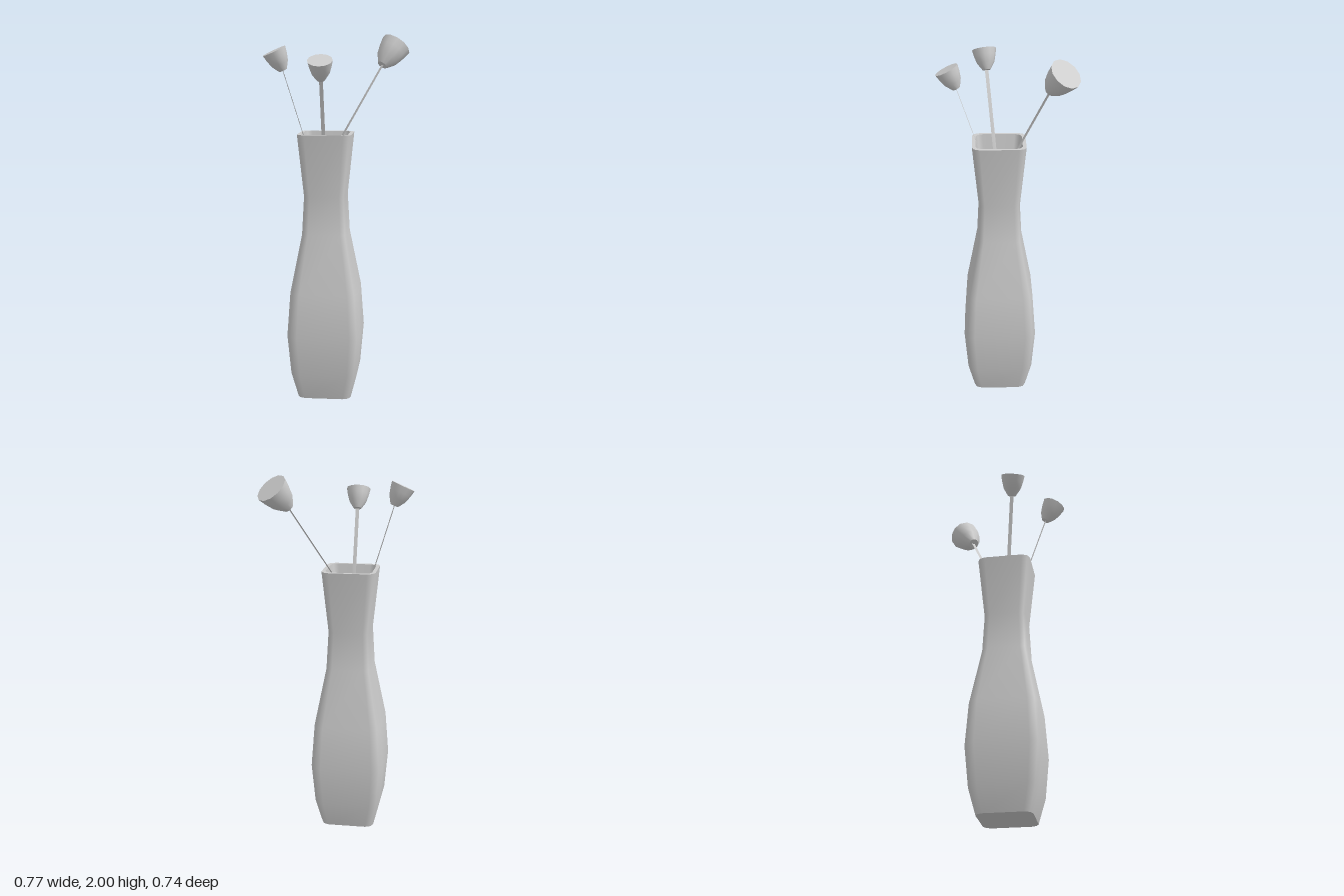
import * as THREE from 'three';
import { mergeGeometries } from 'three/addons/utils/BufferGeometryUtils.js';

const material = new THREE.MeshStandardMaterial({ color: 0xcccccc });
const thin = new THREE.MeshStandardMaterial({ color: 0xcccccc, side: THREE.DoubleSide });
const CX = -0.055, CZ = 0.032; // vase axis

function addMesh(parent, name, geometry, mat = material) {
  const mesh = new THREE.Mesh(geometry, mat);
  mesh.name = name;
  parent.add(mesh);
  return mesh;
}

// Square ring with three points per corner; round = corner size relative to half width
function ring(half, y, round = 0.29) {
  const points = [];
  const c = half * round;
  for (let k = 0; k < 4; k++) {
    const a = (k * Math.PI) / 2;
    for (const [u, v] of [[half, half - c], [half - 0.3 * c, half - 0.3 * c], [half - c, half]]) {
      points.push([u * Math.cos(a) - v * Math.sin(a), y, u * Math.sin(a) + v * Math.cos(a)]);
    }
  }
  return points;
}

// Smooth skin through consecutive closed rings
function loft(rings) {
  const n = rings[0].length;
  const index = [];
  for (let i = 0; i < rings.length - 1; i++) {
    for (let j = 0; j < n; j++) {
      const a = i * n + j, b = i * n + ((j + 1) % n);
      index.push(a, a + n, b, b, a + n, b + n);
    }
  }
  const g = new THREE.BufferGeometry();
  g.setAttribute('position', new THREE.Float32BufferAttribute(rings.flat(2), 3));
  g.setIndex(index);
  g.computeVertexNormals();
  return g;
}

// Flat strip following a path, its width square to the lean direction
function ribbon(path, width) {
  const first = path[0], last = path[path.length - 1];
  const side = new THREE.Vector3(first.z - last.z, 0, last.x - first.x).setLength(width / 2);
  const positions = [], index = [];
  path.forEach((p, i) => {
    positions.push(p.x - side.x, p.y, p.z - side.z, p.x + side.x, p.y, p.z + side.z);
    if (i) index.push(2 * i - 2, 2 * i - 1, 2 * i, 2 * i - 1, 2 * i + 1, 2 * i);
  });
  const g = new THREE.BufferGeometry();
  g.setAttribute('position', new THREE.Float32BufferAttribute(positions, 3));
  g.setIndex(index);
  g.computeVertexNormals();
  return g;
}

// Closed twelve-sided cup, base at the origin, opening upwards
function cupGeometry() {
  const profile = [[0.022, 0], [0.048, 0.04], [0.06, 0.08], [0.067, 0.115]];
  const wall = new THREE.LatheGeometry(profile.map(([r, y]) => new THREE.Vector2(r, y)), 12);
  const top = new THREE.CircleGeometry(0.067, 12).rotateX(-Math.PI / 2).translate(0, 0.115, 0);
  const bottom = new THREE.CircleGeometry(0.022, 12).rotateX(Math.PI / 2);
  return mergeGeometries([wall, top, bottom]);
}

export function createModel() {
  const model = new THREE.Group();

  // Vase: base, body, rim, tapering hollow and its floor
  const vase = new THREE.Group();
  vase.name = 'vase';
  vase.position.set(CX, 0, CZ);
  model.add(vase);
  const body = [
    [0.147, 0], [0.183, 0.14], [0.202, 0.36], [0.185, 0.6],
    [0.124, 0.92], [0.113, 1.13], [0.147, 1.47],
  ];
  const floorY = 0.75;
  addMesh(vase, 'vaseBase', loft([ring(0, 0), ring(0.147, 0)]));
  addMesh(vase, 'vaseBody', loft(body.map(([half, y]) => ring(half, y))));
  addMesh(vase, 'vaseRim', loft([ring(0.147, 1.47), ring(0.127, 1.47)]));
  addMesh(vase, 'vaseInside', loft([ring(0.127, 1.47), ring(0.0435, floorY, 0.02)]));
  addMesh(vase, 'vaseFloor', loft([ring(0.0435, floorY, 0.02), ring(0, floorY, 0.02)]));

  // Flowers: opening centre, facing direction, size, stem knee and stem foot
  const flowers = [
    { name: 'frontFlower', top: [-0.057, 1.87, 0.31], axis: [0, 0.89, 0.45], size: 1,
      knee: [-0.056, 1.38, 0.125], foot: [-0.056, floorY, 0.045] },
    { name: 'rightFlower', top: [-0.326, 1.914, 0.109], axis: [-0.4, 0.9, 0.12], size: 1,
      knee: [-0.158, 1.4, 0.055], foot: [-0.094, floorY, 0.034] },
    { name: 'leftFlower', top: [0.31, 1.94, -0.295], axis: [0.49, 0.72, -0.49], size: 1.31,
      knee: [0.0, 1.4, -0.045], foot: [-0.064, floorY, 0.02] },
  ];
  const cup = cupGeometry();
  for (const f of flowers) {
    const flower = new THREE.Group();
    flower.name = f.name;
    model.add(flower);
    const axis = new THREE.Vector3(...f.axis).normalize();
    const base = new THREE.Vector3(...f.top).addScaledVector(axis, -0.115 * f.size);
    const head = addMesh(flower, 'flowerHead', cup);
    head.position.copy(base);
    head.quaternion.setFromUnitVectors(new THREE.Vector3(0, 1, 0), axis);
    head.scale.setScalar(f.size);
    const path = [new THREE.Vector3(...f.foot), new THREE.Vector3(...f.knee),
      base.clone().addScaledVector(axis, 0.01)];
    addMesh(flower, 'stem', ribbon(path, 0.02), thin);
  }
  return model;
}
